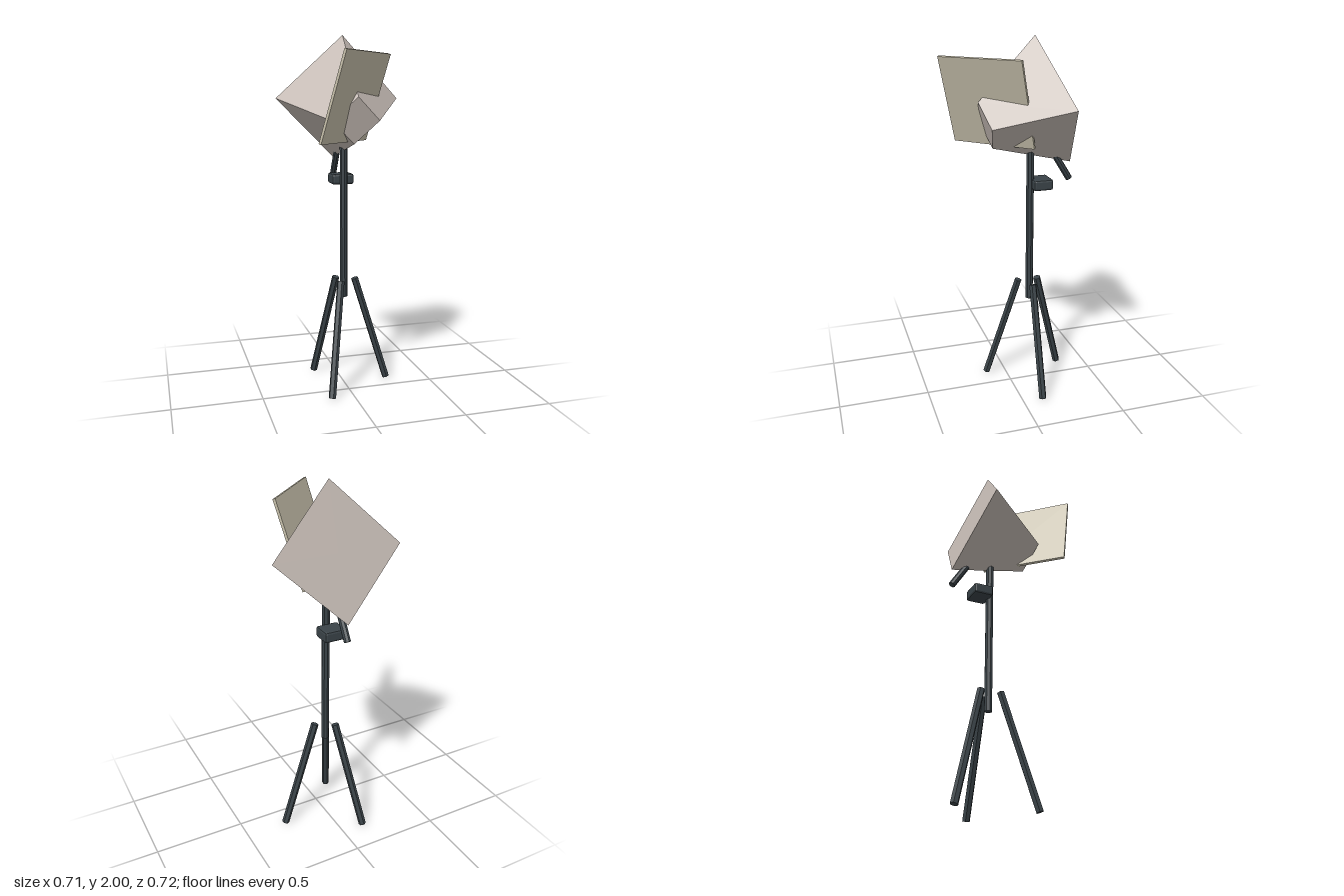
import * as THREE from 'three';
import { RoundedBoxGeometry } from 'three/addons/geometries/RoundedBoxGeometry.js';

const TILT = 0.3;      // shared forward lean of head and panel
const MAST_Z = -0.112; // stand axis

const material = (color) => new THREE.MeshStandardMaterial({ color, flatShading: true });

function part(parent, name, geometry, mat) {
  const mesh = new THREE.Mesh(geometry, mat);
  mesh.name = name;
  parent.add(mesh);
  return mesh;
}

// Straight faceted rod between two points
function rod(parent, name, from, to, radius, sides, mat) {
  const dir = to.clone().sub(from);
  const mesh = part(parent, name, new THREE.CylinderGeometry(radius, radius, dir.length(), sides), mat);
  mesh.position.copy(from).add(to).multiplyScalar(0.5);
  mesh.quaternion.setFromUnitVectors(new THREE.Vector3(0, 1, 0), dir.normalize());
  return mesh;
}

export function createModel() {
  const model = new THREE.Group();
  model.name = 'lampOnTripod';
  const dark = material(0x3a4348);
  const shell = material(0xc6bcb5);
  const cream = material(0xc8c1ac);
  const v = (x, y, z) => new THREE.Vector3(x, y, z);

  // Tripod: three splayed legs, 120 degrees apart
  const stand = new THREE.Group();
  stand.name = 'stand';
  model.add(stand);
  for (let i = 0; i < 3; i++) {
    const a = (i * Math.PI * 2) / 3;
    const at = (r, y) => v(r * Math.cos(a), y, MAST_Z + r * Math.sin(a));
    rod(stand, 'leg', at(0.26, 0.012), at(0.065, 0.634), 0.021, 6, dark);
  }

  // Mast and its clamp
  rod(stand, 'mast', v(0, 0.53, MAST_Z), v(0, 1.42, MAST_Z), 0.022, 8, dark);
  const clamp = part(stand, 'clamp', new RoundedBoxGeometry(0.126, 0.06, 0.11, 1, 0.012), dark);
  clamp.position.set(0, 1.21, -0.172);

  // Tilt handle below the head
  rod(stand, 'handle', v(0, 1.45, -0.2), v(0, 1.225, -0.339), 0.019, 8, dark);

  // Head: square pyramid frustum standing on its corner, wide end to the back
  const headGeometry = new THREE.CylinderGeometry(0.13, 0.357, 0.393, 4);
  headGeometry.rotateX(Math.PI / 2);
  const head = part(model, 'head', headGeometry, shell);
  head.position.set(0, 1.6025, -0.05);
  head.rotation.x = TILT;

  // Thin square panel set diagonally through the front of the head
  const panel = part(model, 'panel', new THREE.BoxGeometry(0.488, 0.489, 0.0145), cream);
  panel.position.set(0, 1.665, 0.129);
  panel.rotation.set(0.31, Math.PI / 4, 0, 'YXZ');

  return model;
}
